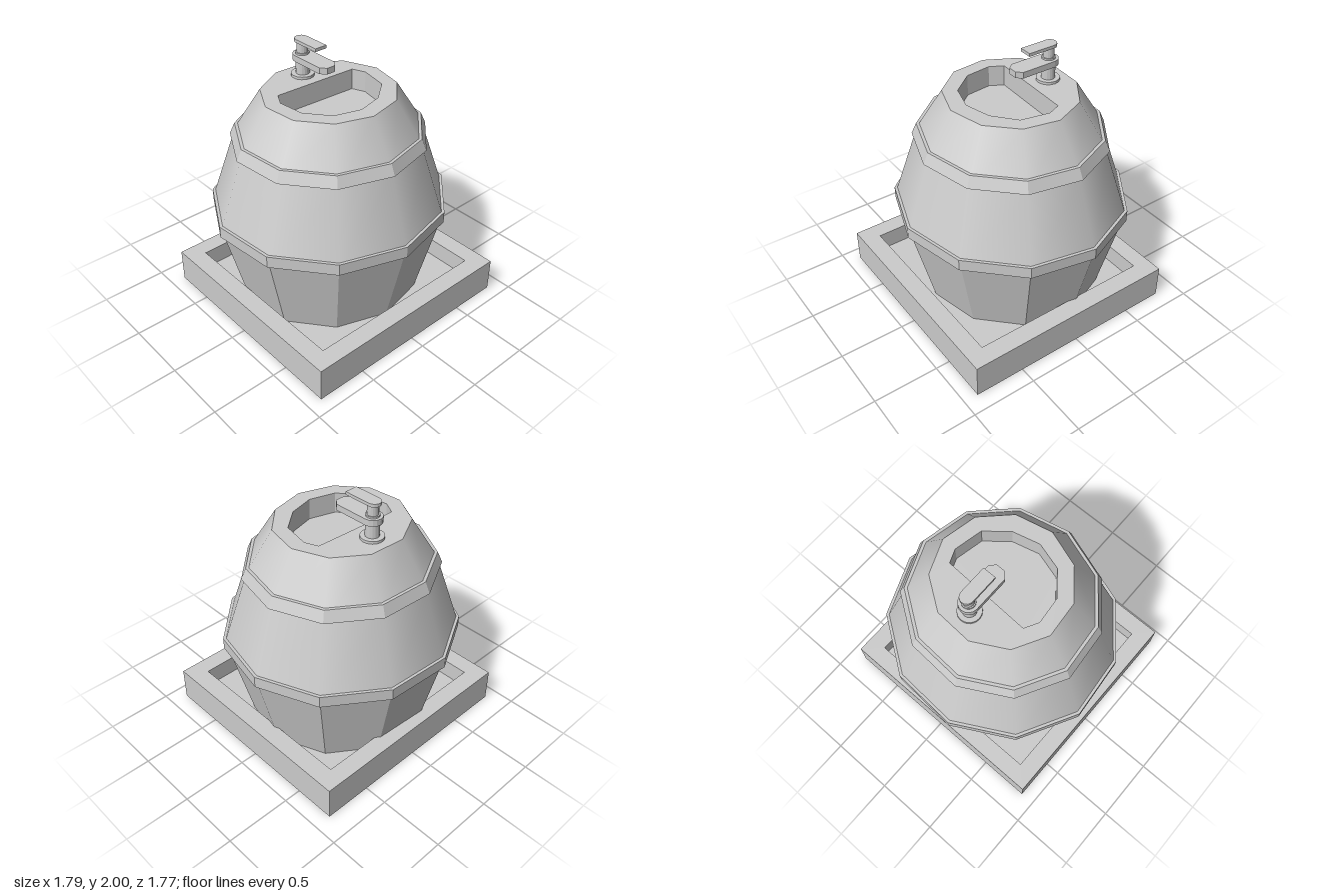
import * as THREE from 'three';

const SIDES = 11;
const PHASE = 1.656; // rotation of the eleven-sided barrel
const SQUASH = 0.963; // barrel is slightly narrower front to back
const TOP = 1.715;
const flat = new THREE.MeshStandardMaterial({ color: 0xcccccc, flatShading: true });
const smooth = new THREE.MeshStandardMaterial({ color: 0xcccccc });

function add(parent, name, geometry, material = flat, x = 0, y = 0, z = 0) {
  const mesh = new THREE.Mesh(geometry, material);
  mesh.name = name;
  mesh.position.set(x, y, z);
  parent.add(mesh);
  return mesh;
}

const toVectors = (points) => points.map(([x, z]) => new THREE.Vector2(x, z));

// Plan outline (x, z) extruded downwards from y = 0
function slab(outline, depth, hole) {
  const shape = new THREE.Shape(toVectors(outline));
  if (hole) shape.holes.push(new THREE.Path(toVectors(hole)));
  return new THREE.ExtrudeGeometry(shape, { depth, bevelEnabled: false }).rotateX(Math.PI / 2);
}

const rectangle = (x0, x1, z0, z1) => [[x0, z0], [x1, z0], [x1, z1], [x0, z1]];

// Half circle around the back of the tap, from +x to -x
function roundBack(radius) {
  return Array.from({ length: 9 }, (_, i) => {
    const a = (i / 8) * Math.PI;
    return [radius * Math.cos(a), -radius * Math.sin(a)];
  });
}

export function createModel() {
  const model = new THREE.Group();
  model.name = 'barrelSink';

  // Square tray: raised rim around a sunken floor
  const tray = new THREE.Group();
  tray.name = 'tray';
  model.add(tray);
  const inner = rectangle(-0.75, 0.727, -0.683, 0.75);
  add(tray, 'trayRim', slab(rectangle(-0.89, 0.87, -0.82, 0.89), 0.265, inner), flat, 0, 0.265, 0);
  add(tray, 'trayFloor', slab(inner, 0.12), flat, 0, 0.12, 0);

  // Barrel walls: faceted below the lower hoop, smooth above
  const barrel = new THREE.Group();
  barrel.name = 'barrel';
  barrel.position.set(-0.006, 0, -0.028);
  barrel.scale.z = SQUASH;
  model.add(barrel);
  const walls = [
    ['lowerWall', 0.11, 0.712, 0.8, 0.888, flat],
    ['middleWall', 0.8, 0.905, 1.36, 0.712, smooth],
    ['upperWall', 1.36, 0.728, TOP, 0.5, smooth],
  ];
  for (const [name, y0, r0, y1, r1, material] of walls) {
    const wall = new THREE.CylinderGeometry(r1, r0, y1 - y0, SIDES, 1, true, PHASE);
    add(barrel, name, wall, material, 0, (y0 + y1) / 2, 0);
  }

  // Hoops with an inner radius hidden in the wall
  const hoops = [
    ['lowerHoop', 0.77, 0.86, 0.907, 0.907, 0.84],
    ['upperHoop', 1.355, 1.44, 0.738, 0.7, 0.65],
  ];
  for (const [name, y0, y1, r0, r1, rIn] of hoops) {
    const profile = toVectors([[rIn, y0], [r0, y0], [r1, y1], [rIn, y1]]);
    add(barrel, name, new THREE.LatheGeometry(profile, SIDES, PHASE, Math.PI * 2));
  }

  // Lid with a basin that is cut straight towards the tap
  const rim = Array.from({ length: SIDES }, (_, i) => {
    const a = PHASE + (i / SIDES) * Math.PI * 2;
    return [0.5 * Math.sin(a) - 0.006, 0.5 * SQUASH * Math.cos(a) - 0.028];
  });
  const basin = [[-0.33, -0.2], [0.34, -0.17], [0.38, -0.07], [0.335, 0.145], [0.17, 0.28],
    [-0.03, 0.33], [-0.23, 0.27], [-0.365, 0.1], [-0.385, -0.1]];
  add(model, 'lid', slab(rim, 0.17, basin), flat, 0, TOP, 0);
  add(model, 'basinFloor', slab(basin, 0.02), flat, 0, TOP - 0.16, 0);

  // Tap: stacked round parts, flat spout and lever
  const tap = new THREE.Group();
  tap.name = 'tap';
  tap.position.set(0.01, 0, -0.34);
  model.add(tap);
  const rounds = [
    ['tapFlange', 0.086, TOP, 1.735],
    ['tapStem', 0.051, 1.735, 1.845],
    ['tapCollar', 0.05, 1.885, 1.9],
    ['tapNeck', 0.041, 1.9, 1.978],
  ];
  for (const [name, r, y0, y1] of rounds) {
    add(tap, name, new THREE.CylinderGeometry(r, r, y1 - y0, 16), flat, 0, (y0 + y1) / 2, 0);
  }
  const spout = [...roundBack(0.072), [-0.072, 0.27], [-0.035, 0.312], [0.035, 0.312], [0.072, 0.27]];
  add(tap, 'spout', slab(spout, 0.047), flat, 0, 1.887, 0);
  add(tap, 'spoutOutlet', new THREE.CylinderGeometry(0.027, 0.027, 0.02, 12), flat, 0, 1.834, 0.255);
  const lever = [...roundBack(0.05), [-0.05, 0.215], [0.05, 0.215]];
  add(tap, 'lever', slab(lever, 0.024).translate(0, 0, -0.01), flat, 0, 2, 0);

  return model;
}
